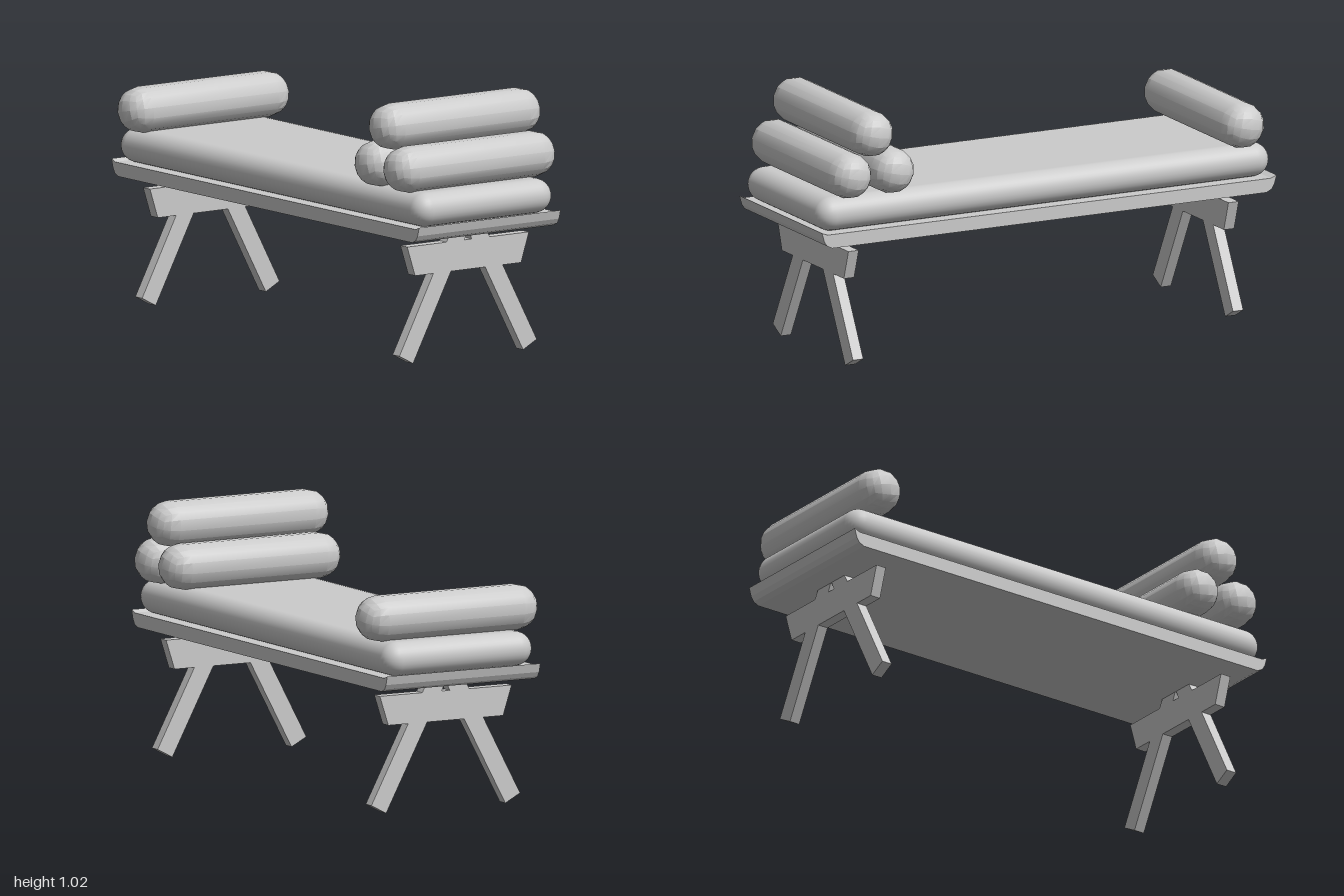
import * as THREE from 'three';
import { RoundedBoxGeometry } from 'three/addons/geometries/RoundedBoxGeometry.js';
import { toCreasedNormals } from 'three/addons/utils/BufferGeometryUtils.js';

const material = new THREE.MeshStandardMaterial({ color: 0xcccccc });

function addPart(group, name, geometry, x = 0, y = 0, z = 0) {
  const mesh = new THREE.Mesh(geometry, material);
  mesh.name = name;
  mesh.position.set(x, y, z);
  group.add(mesh);
  return mesh;
}

// Mirrors half an outline across the vertical axis and extrudes it, centred in depth
function extrudeMirrored(half, depth) {
  const mirrored = half.map(([x, y]) => [-x, y]).reverse();
  const points = [...half, ...mirrored].map(([x, y]) => new THREE.Vector2(x, y));
  const geometry = new THREE.ExtrudeGeometry(new THREE.Shape(points), { depth, bevelEnabled: false });
  return geometry.translate(0, 0, -depth / 2);
}

export function createModel() {
  const group = new THREE.Group();
  group.name = 'daybed';

  // Flat board whose ends curl up to a lip
  const boardHalf = [
    [0.955, 0.497], [0.978, 0.508], [0.99, 0.527], [1, 0.562], [0.975, 0.552],
  ];
  addPart(group, 'board', extrudeMirrored(boardHalf, 0.686));

  // Mattress with fully rounded edges
  addPart(group, 'mattress', new RoundedBoxGeometry(1.99, 0.135, 0.668, 4, 0.067), 0, 0.618, 0);

  // Bolsters: one at the left end of the front, a stack of three at the other
  const bolster = toCreasedNormals(new RoundedBoxGeometry(0.182, 0.182, 0.79, 2, 0.091), 0.4);
  const bolsters = [[-0.863, 0.77], [0.678, 0.77], [0.865, 0.77], [0.77, 0.927]];
  for (const [x, y] of bolsters) {
    addPart(group, 'bolster', bolster, x, y, 0).rotation.z = 0.2;
  }

  // Trestles: two splayed legs joined by a tapered crosspiece
  const trestleHalf = [
    [0.083, 0.35], [0.267, 0.005], [0.333, 0.04], [0.168, 0.35], [0.257, 0.35],
    [0.295, 0.467], [0.105, 0.467], [0.087, 0.5], [0.003, 0.5], [0.018, 0.467],
  ];
  const trestle = extrudeMirrored(trestleHalf, 0.045).rotateY(Math.PI / 2);
  for (const side of [-1, 1]) addPart(group, 'trestleLegs', trestle, side * 0.836, -0.005, 0);

  return group;
}
